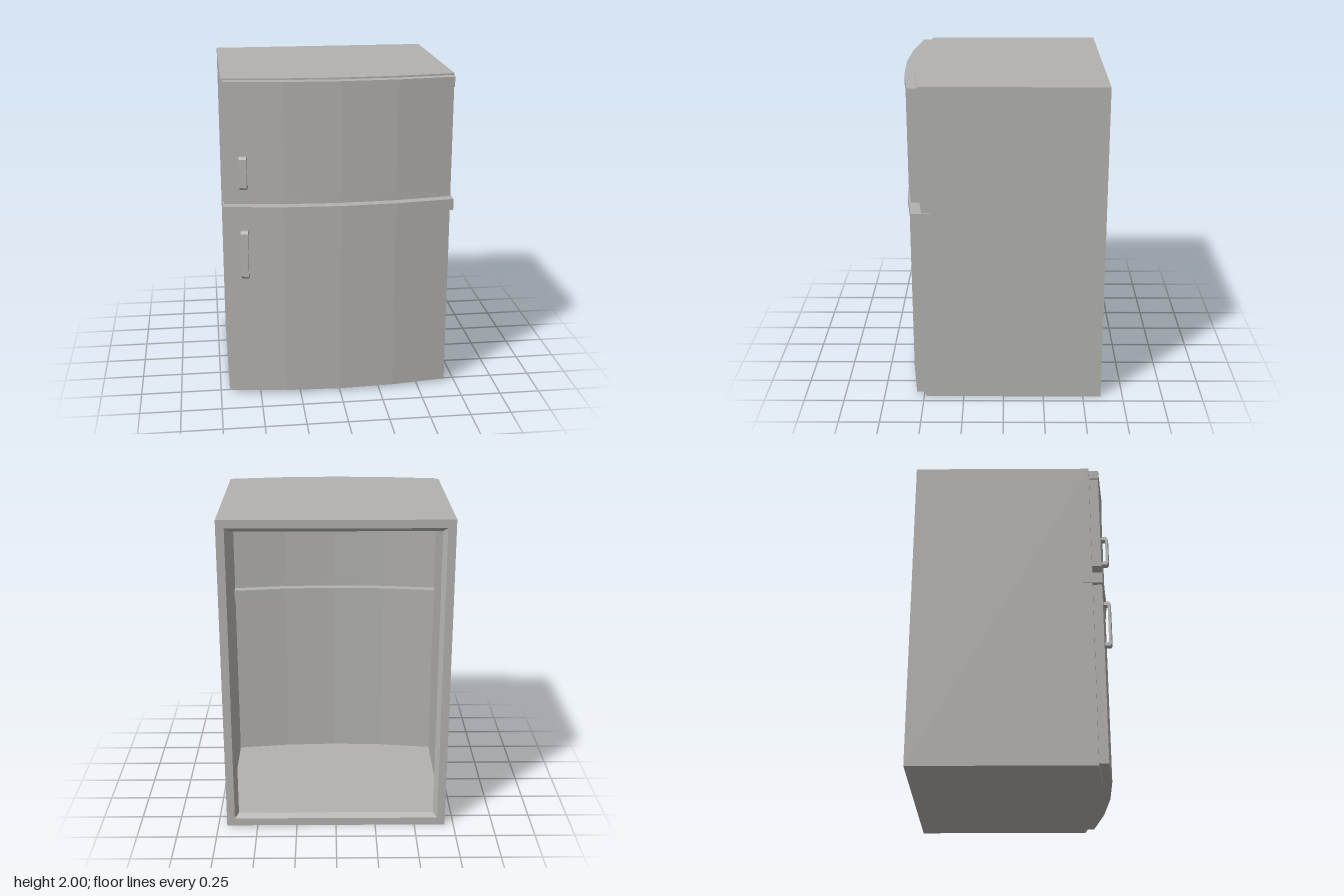
import * as THREE from 'three';

const W = 0.695, H = 2, BACK = -0.612, EDGE = 0.487, SEG = 4, WALL = 0.005;

// Depth of the bowed front at x, for a panel whose corners sit at z = edge
const bow = (x, edge) => edge + 0.061 * (1 - (x / W) ** 2);

// Horizontal slab with a bowed front; its back is bowed or straight
function slab(halfW, y0, y1, backAt, frontEdge) {
  const pts = [];
  for (let i = 0; i <= SEG; i++) {
    const x = -halfW + (2 * halfW * i) / SEG;
    pts.push(new THREE.Vector2(x, -bow(x, frontEdge)));
  }
  for (let i = SEG; i >= 0; i--) {
    const x = -halfW + (2 * halfW * i) / SEG;
    pts.push(new THREE.Vector2(x, -backAt(x)));
  }
  const geo = new THREE.ExtrudeGeometry(new THREE.Shape(pts), { depth: y1 - y0, bevelEnabled: false });
  return geo.rotateX(-Math.PI / 2).translate(0, y0, 0);
}

// Back frame: rectangular loops [inset, depth] joined into a flat rim with a chamfered lip
function backFrame() {
  const loops = [[0, 0], [0.05, 0], [0.075, 0.03], [WALL, 0.035]].map(([t, s]) =>
    [[-1, -1], [1, -1], [1, 1], [-1, 1]].map(([sx, sy]) =>
      [sx * (W - t), H / 2 + sy * (H / 2 - t), BACK + s]));
  const pos = [];
  for (let l = 0; l < loops.length - 1; l++) {
    const a = loops[l], b = loops[l + 1];
    for (let i = 0; i < 4; i++) {
      const j = (i + 1) % 4;
      pos.push(...a[i], ...b[j], ...a[j], ...a[i], ...b[i], ...b[j]);
    }
  }
  const geo = new THREE.BufferGeometry();
  geo.setAttribute('position', new THREE.Float32BufferAttribute(pos, 3));
  geo.computeVertexNormals();
  return geo;
}

// Bracket-shaped pull with sloping ends, drawn as (z, y), extruded across x
// and turned to follow the bow of the door
function handle(y0, y1) {
  const zd = -0.015, zf = 0.042, th = 0.016, width = 0.044;
  const shape = new THREE.Shape([
    [zd, y0 + 0.004], [zf - 0.01, y0], [zf, y0 + 0.014], [zf, y1 - 0.014], [zf - 0.01, y1], [zd, y1 - 0.004],
    [zd, y1 - 0.02], [zf - th, y1 - 0.024], [zf - th, y0 + 0.024], [zd, y0 + 0.02],
  ].map(([z, y]) => new THREE.Vector2(-z, y)));
  const geo = new THREE.ExtrudeGeometry(shape, { depth: width, bevelEnabled: false });
  return geo.rotateY(Math.PI / 2).translate(-width / 2, 0, 0).rotateY(-0.2).translate(-0.574, 0, 0.56);
}

export function createModel() {
  const group = new THREE.Group();
  group.name = 'refrigerator';
  const grey = new THREE.MeshStandardMaterial({ color: 0xb3b2af, side: THREE.DoubleSide });
  grey.name = 'warm grey';
  const add = (name, geo) => {
    const mesh = new THREE.Mesh(geo, grey);
    mesh.name = name;
    group.add(mesh);
    return mesh;
  };

  // Hollow cabinet: thin walls, open at the back
  const depth = EDGE - BACK;
  for (const [side, name] of [[1, 'leftWall'], [-1, 'rightWall']]) {
    add(name, new THREE.BoxGeometry(WALL, H, depth))
      .position.set(side * (W - WALL / 2), H / 2, (EDGE + BACK) / 2);
  }
  const straightBack = () => BACK;
  add('cabinetTop', slab(W, H - WALL, H, straightBack, EDGE));
  add('cabinetFloor', slab(W, 0, WALL, straightBack, EDGE));
  add('backFrame', backFrame());

  // Bowed cabinet face, crossed by the doors and trims
  const face = new THREE.PlaneGeometry(2 * W, H, SEG, 1).translate(0, H / 2, 0);
  const p = face.attributes.position;
  for (let i = 0; i < p.count; i++) p.setZ(i, bow(p.getX(i), EDGE));
  face.computeVertexNormals();
  add('cabinetFace', face);

  // Doors and trims, reaching a little way inside the cabinet
  const doorBack = (x) => bow(x, 0.455);
  const trimBack = (x) => bow(x, 0.43);
  add('lowerDoor', slab(0.675, 0.02, 1.166, doorBack, 0.543));
  add('upperDoor', slab(0.675, 1.297, 1.985, doorBack, 0.543));
  add('topTrim', slab(0.685, 1.93, 1.99, trimBack, 0.547));
  add('middleTrim', slab(0.702, 1.165, 1.235, trimBack, 0.55));

  // Handles
  add('lowerHandle', handle(0.79, 1.09));
  add('upperHandle', handle(1.35, 1.55));
  return group;
}
